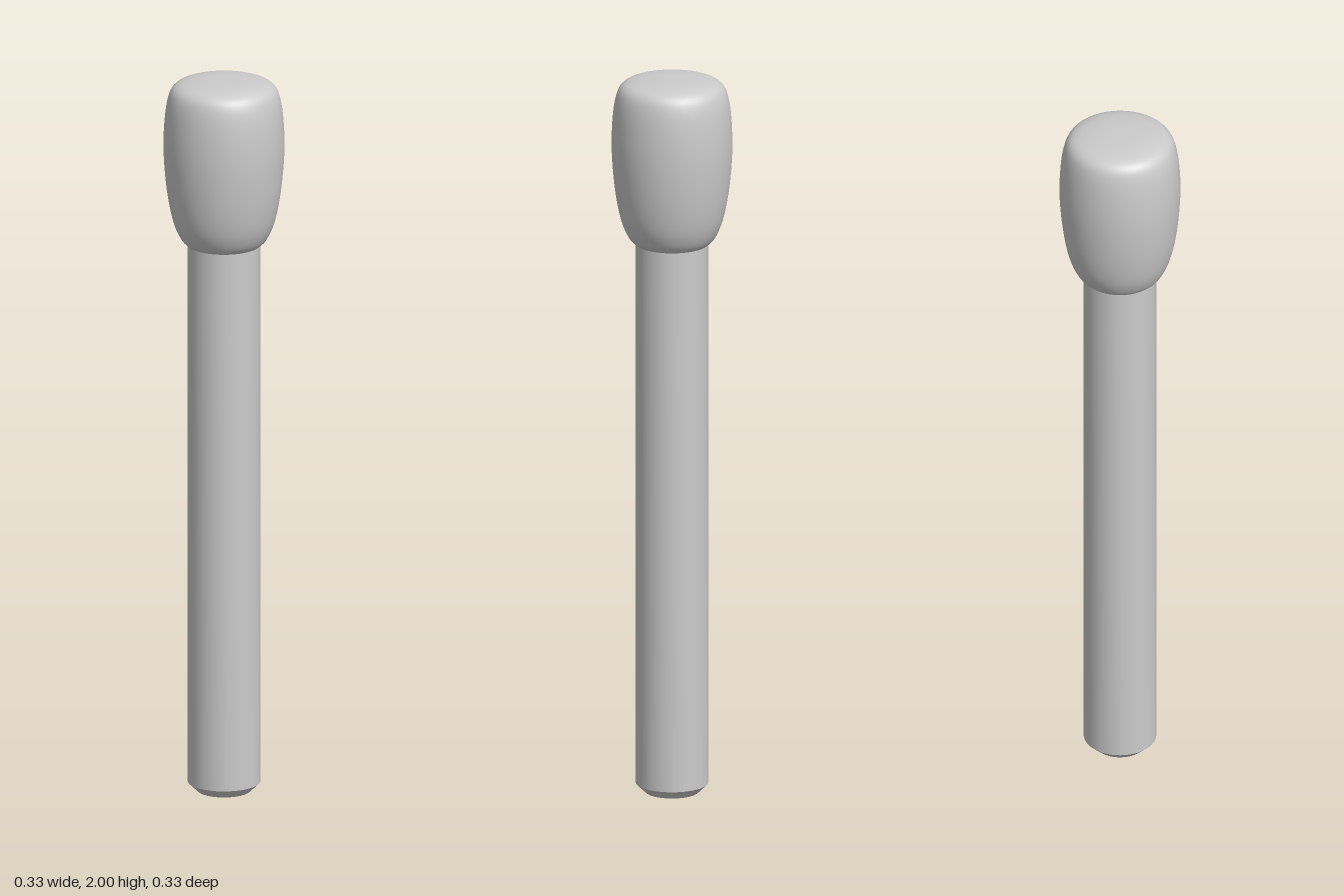
import * as THREE from 'three';
import { toCreasedNormals } from 'three/addons/utils/BufferGeometryUtils.js';

const SEGMENTS = 48;
const material = new THREE.MeshStandardMaterial({ color: 0xcccccc });
const toPoints = (pairs) => pairs.map(([r, y]) => new THREE.Vector2(r, y));

function addPart(group, name, geometry) {
  const mesh = new THREE.Mesh(geometry, material);
  mesh.name = name;
  group.add(mesh);
}

export function createModel() {
  const group = new THREE.Group();
  group.name = 'match';

  // Round stick with a chamfered foot, running up into the head
  const stick = new THREE.LatheGeometry(
    toPoints([[0, 0], [0.072, 0], [0.098, 0.025], [0.098, 1.56]]), SEGMENTS);
  addPart(group, 'stick', toCreasedNormals(stick, 0.5));

  // Bulbous head: smooth curve from the neck to the nearly flat top
  const curve = new THREE.SplineCurve(toPoints([
    [0.098, 1.537], [0.116, 1.555], [0.136, 1.6], [0.151, 1.67], [0.16, 1.75],
    [0.163, 1.82], [0.16, 1.89], [0.152, 1.945], [0.138, 1.977], [0.11, 1.992],
    [0.06, 1.999], [0, 2],
  ]));
  const profile = curve.getPoints(44);
  profile[profile.length - 1].x = 0;
  addPart(group, 'head', new THREE.LatheGeometry(profile, SEGMENTS));

  return group;
}
